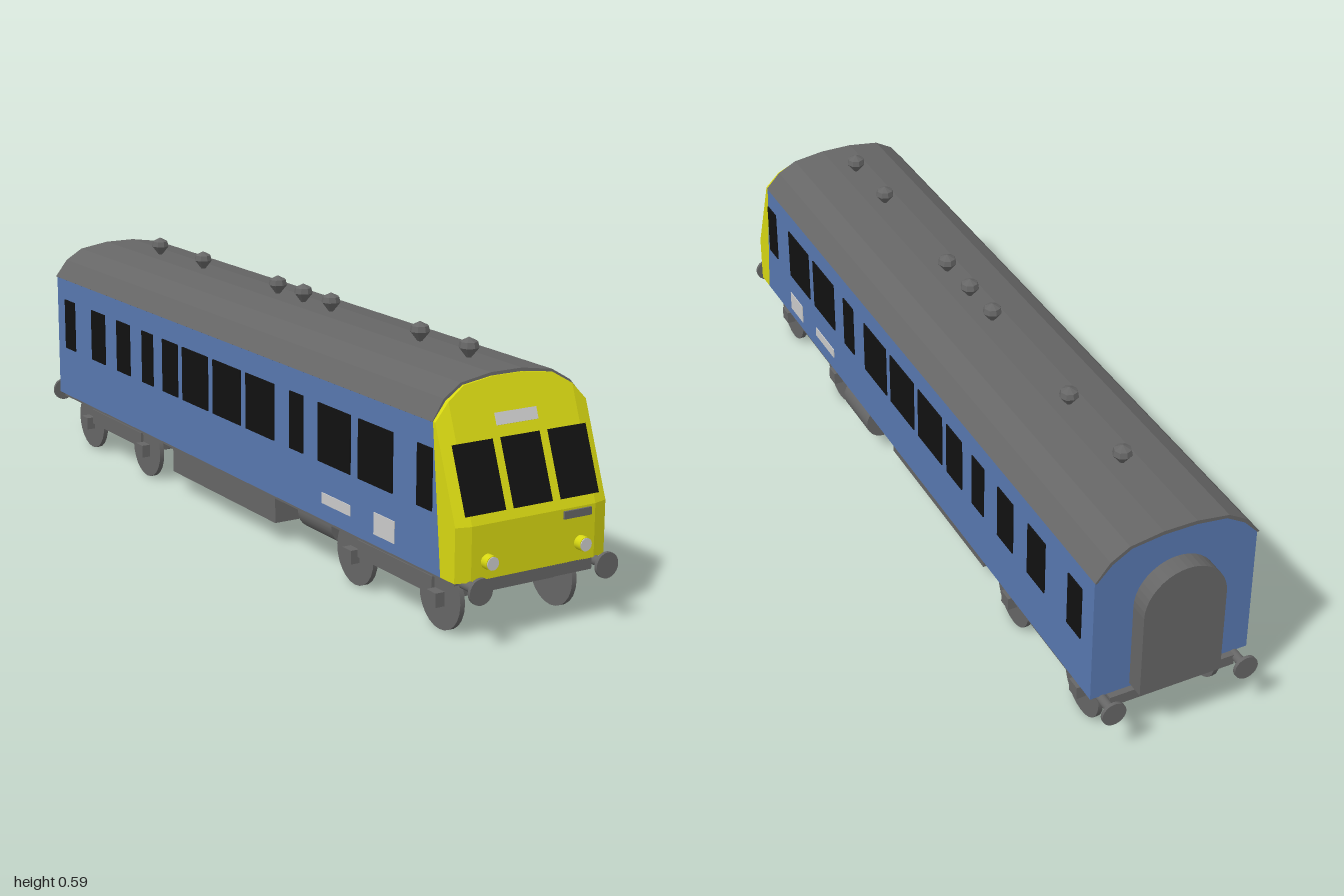
import * as THREE from 'three';

const YELLOW = 0xd8d812, BLUE = 0x5878b0, DARK = 0x666666, BLACK = 0x111111, PALE = 0xcccccc;
const W = 0.195, EAVES = 0.465, FLOOR = 0.14;

// right half of the roof arch, from eaves to crown
const ARCH = [[W, EAVES], [0.16, 0.503], [0.115, 0.53], [0.04, 0.54]];
const mirrored = (pts) => [...pts, ...pts.map(([x, y]) => [-x, y]).reverse()];
const shapeOf = (pts) => new THREE.Shape(pts.map(([x, y]) => new THREE.Vector2(x, y)));

// z where the cab meets the body, and z of the cab's face
const seamZ = (y) => (y <= EAVES ? 0.9 - (y - FLOOR) * 0.108 : 0.865 - (y - EAVES) * 0.18);
const faceZ = (x, y) => 0.96 - Math.max(0, y - 0.26) * 0.375 - (Math.abs(x) > 0.19 ? 0.01 : 0);

export function createModel() {
  const root = new THREE.Group();
  const mats = {};
  const mat = (color) => (mats[color] ??= new THREE.MeshStandardMaterial({ color }));

  function add(name, geo, color, x = 0, y = 0, z = 0, parent = root) {
    const mesh = new THREE.Mesh(geo, mat(color));
    mesh.name = name;
    mesh.position.set(x, y, z);
    parent.add(mesh);
    return mesh;
  }
  const box = (name, color, w, h, d, x, y, z, parent) =>
    add(name, new THREE.BoxGeometry(w, h, d), color, x, y, z, parent);
  function cyl(name, color, r, len, axis, x, y, z, parent, sides = 24) {
    const geo = new THREE.CylinderGeometry(r, r, len, sides);
    if (axis === 'x') geo.rotateZ(Math.PI / 2);
    if (axis === 'z') geo.rotateX(Math.PI / 2);
    return add(name, geo, color, x, y, z, parent);
  }

  // extrusion along z whose front end follows the sloping cab seam
  function coachExtrude(name, pts, color, back) {
    const geo = new THREE.ExtrudeGeometry(shapeOf(pts), { depth: 1, bevelEnabled: false });
    const p = geo.attributes.position;
    for (let i = 0; i < p.count; i++) p.setZ(i, p.getZ(i) > 0.5 ? seamZ(p.getY(i)) : back);
    geo.computeVertexNormals();
    return add(name, geo, color);
  }

  // body and roof skin
  coachExtrude('body', mirrored([[W, FLOOR], ...ARCH]), BLUE, -0.945);
  const outer = [[W + 0.002, EAVES], [0.163, 0.508], [0.118, 0.535], [0.04, 0.547]];
  coachExtrude('roof', [...mirrored(outer), ...mirrored(ARCH.map(([x, y]) => [x - 0.002, y - 0.002])).reverse()], DARK, -0.95);

  // cab: a creased face with a rim running back to the body
  const columns = mirrored(ARCH).reverse();
  const rows = columns.map(([x, top]) => [FLOOR, 0.26, top].map((y) => [x, y, faceZ(x, y)]));
  const verts = [];
  const quad = (a, b, c, d) => verts.push(...a, ...b, ...c, ...a, ...c, ...d);
  for (let i = 0; i < rows.length - 1; i++)
    for (let j = 0; j < 2; j++) quad(rows[i][j], rows[i + 1][j], rows[i + 1][j + 1], rows[i][j + 1]);
  const last = rows.length - 1;
  const rim = [...rows.map((r) => r[0]), rows[last][1], ...rows.map((r) => r[2]).reverse(), rows[0][1]];
  const toSeam = ([x, y]) => [x, y, seamZ(y)];
  rim.forEach((a, i) => {
    const b = rim[(i + 1) % rim.length];
    quad(a, toSeam(a), toSeam(b), b);
  });
  const cab = new THREE.BufferGeometry();
  cab.setAttribute('position', new THREE.Float32BufferAttribute(verts, 3));
  cab.computeVertexNormals();
  add('cab', cab, YELLOW);

  // windscreens and destination panel lie on the sloping face
  function onSlope(name, color, w, h, x, y) {
    const tilt = Math.atan(0.375);
    box(name, color, w, h / Math.cos(tilt), 0.008, x, y, faceZ(0, y)).rotation.x = -tilt;
  }
  for (const x of [-0.121, 0, 0.122]) onSlope('windscreen', BLACK, 0.099, 0.14, x, 0.35);
  onSlope('destinationPanel', PALE, 0.106, 0.025, 0, 0.456);
  box('frontPlate', DARK, 0.072, 0.017, 0.01, 0.111, 0.247, 0.96);
  for (const x of [-0.12, 0.122]) {
    cyl('headlight', YELLOW, 0.016, 0.025, 'z', x, 0.18, 0.967);
    cyl('headlightLens', PALE, 0.0145, 0.004, 'z', x, 0.18, 0.9795);
  }

  // side windows [centre z, width] and pale side panels
  const windows = [[0.84, 0.055], [0.654, 0.134], [0.488, 0.134], [0.327, 0.06], [0.163, 0.13], [0.005, 0.134],
    [-0.153, 0.13], [-0.284, 0.08], [-0.407, 0.06], [-0.544, 0.075], [-0.692, 0.08], [-0.866, 0.06]];
  for (const s of [-1, 1]) {
    for (const [z, w] of windows) box('sideWindow', BLACK, 0.006, 0.135, w, s * W, 0.342, z);
    box('sidePanel', PALE, 0.004, 0.05, 0.08, s * W, 0.19, 0.69);
    box('sidePlate', PALE, 0.004, 0.025, 0.118, s * W, 0.192, 0.497);
  }

  // roof ventilators
  const vent = new THREE.LatheGeometry(
    [[0.004, 0], [0.023, 0.024], [0.02, 0.037], [0, 0.047]].map(([x, y]) => new THREE.Vector2(x, y)), 8).toNonIndexed();
  vent.computeVertexNormals();
  for (const z of [0.715, 0.53, 0.16, 0.035, -0.085, -0.465, -0.705]) add('roofVent', vent, DARK, 0, 0.545, z);

  // arched gangway on the rear end
  const door = new THREE.Shape();
  door.moveTo(-0.1, 0.15).lineTo(0.1, 0.15).lineTo(0.1, 0.365);
  door.absarc(0, 0.365, 0.1, 0, Math.PI, false);
  add('gangway', new THREE.ExtrudeGeometry(door, { depth: 0.046, bevelEnabled: false, curveSegments: 10 }),
    DARK, 0, 0, -0.99);

  // underframe, buffer beams and buffers
  box('underframe', DARK, 0.37, 0.012, 1.87, 0, 0.135, 0);
  for (const s of [-1, 1]) {
    box('bufferBeam', DARK, 0.31, 0.026, 0.02, 0, 0.128, s * 0.95);
    for (const x of [-0.162, 0.166]) {
      cyl('bufferShank', DARK, 0.011, 0.06, 'z', x, 0.132, s * 0.965);
      cyl('bufferHead', DARK, 0.029, 0.008, 'z', x, 0.132, s * 0.996);
    }
  }

  // equipment box and tanks below the floor
  box('equipmentBox', DARK, 0.31, 0.085, 0.515, 0, 0.0925, -0.095);
  for (const x of [0.15, -0.09]) cyl('tank', DARK, 0.045, 0.147, 'z', x, 0.096, 0.307);

  // bogies
  for (const z of [0.675, -0.67]) {
    const bogie = new THREE.Group();
    bogie.name = 'bogie';
    bogie.position.z = z;
    root.add(bogie);
    box('bogieFrame', DARK, 0.27, 0.045, 0.37, 0, 0.0925, 0, bogie);
    cyl('bogiePivot', DARK, 0.04, 0.03, 'y', 0, 0.122, 0, bogie);
    for (const dz of [-0.165, 0.165]) {
      cyl('axle', DARK, 0.012, 0.31, 'x', 0, 0.075, dz, bogie, 12);
      for (const s of [-1, 1]) {
        cyl('wheel', DARK, 0.075, 0.012, 'x', s * 0.147, 0.075, dz, bogie);
        box('axleBox', DARK, 0.025, 0.032, 0.035, s * 0.163, 0.072, dz, bogie);
      }
    }
    for (const s of [-1, 1]) box('sideFrame', DARK, 0.012, 0.04, 0.29, s * 0.154, 0.0925, 0, bogie);
  }
  return root;
}
